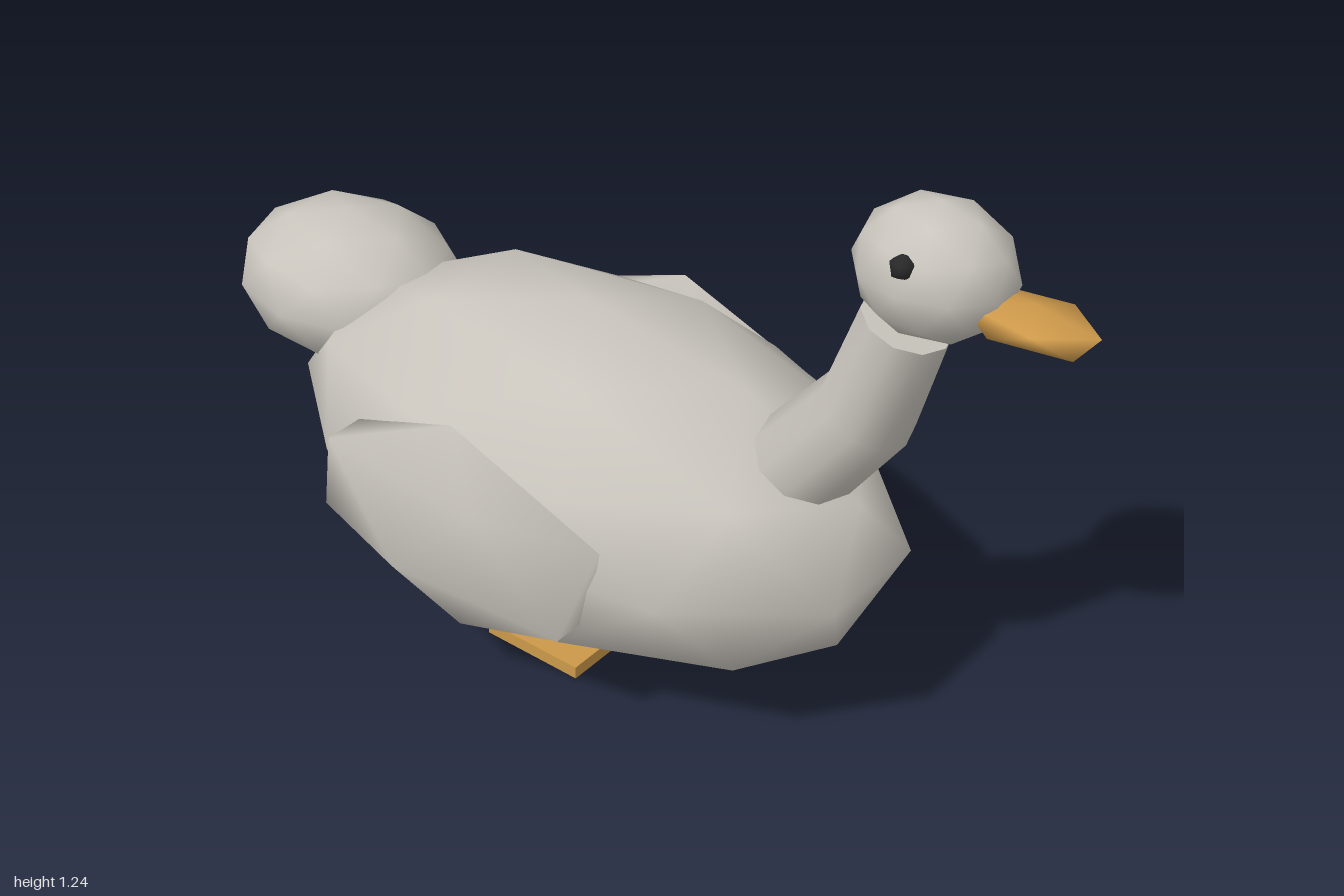
import * as THREE from 'three';

const mat = (name, color) => new THREE.MeshStandardMaterial({ name, color });

// Icosphere standing on a vertex, smooth-shaded, stretched to the given radii
function blob(name, material, detail, center, radii) {
  const geo = new THREE.IcosahedronGeometry(1, detail);
  geo.rotateZ(-Math.atan2(2, 1 + Math.sqrt(5)));
  geo.setAttribute('normal', geo.attributes.position.clone());
  geo.scale(...radii);
  const mesh = new THREE.Mesh(geo, material);
  mesh.name = name;
  mesh.position.set(...center);
  return mesh;
}

// Bent, tapering neck: each cylinder ring is moved to its own centre, radius and tilt
function neckGeometry() {
  const rings = [
    { x: 0.375, y: 0.54, r: 0.108, tilt: -0.62 },
    { x: 0.5625, y: 0.78, r: 0.096, tilt: -0.5 },
    { x: 0.63, y: 0.992, r: 0.086, tilt: -0.33 },
  ];
  const geo = new THREE.CylinderGeometry(1, 1, 2, 10, 2);
  geo.rotateY(-Math.PI / 2);
  const p = geo.attributes.position, n = geo.attributes.normal;
  const v = new THREE.Vector3(), axis = new THREE.Vector3(0, 0, 1);
  for (let i = 0; i < p.count; i++) {
    const ring = rings[Math.round(p.getY(i)) + 1];
    v.set(p.getX(i) * ring.r, 0, p.getZ(i) * ring.r).applyAxisAngle(axis, ring.tilt);
    p.setXYZ(i, ring.x + v.x, ring.y + v.y, v.z);
    v.fromBufferAttribute(n, i).applyAxisAngle(axis, ring.tilt);
    n.setXYZ(i, v.x, v.y, v.z);
  }
  return geo;
}

export function createModel() {
  const feathers = mat('feather grey', 0xc9c5bd);
  const orange = mat('beak orange', 0xcc984a);
  const black = mat('eye black', 0x2a2a2a);
  const bird = new THREE.Group();
  bird.name = 'bird';

  // Body, tail and head
  bird.add(
    blob('body', feathers, 1, [-0.085, 0.4025, 0], [0.72, 0.3575, 0.41]),
    blob('tail', feathers, 1, [-0.747, 0.57, 0], [0.265, 0.165, 0.215]),
    blob('head', feathers, 1, [0.678, 1.114, 0], [0.153, 0.129, 0.13]),
    blob('beak', orange, 0, [0.868, 1.079, 0], [0.147, 0.035, 0.083]),
  );

  const neck = new THREE.Mesh(neckGeometry(), feathers);
  neck.name = 'neck';
  bird.add(neck);

  // Paired wings, eyes and feet
  for (const [side, s] of [['left', 1], ['right', -1]]) {
    bird.add(
      blob(side + 'Wing', feathers, 0, [-0.13, 0.398, s * 0.36], [0.405, 0.2375, 0.082]),
      blob(side + 'Eye', black, 0, [0.68, 1.165, s * 0.111], [0.025, 0.025, 0.025]),
    );
    const foot = new THREE.Mesh(new THREE.BoxGeometry(0.236, 0.028, 0.117), orange);
    foot.name = side + 'Foot';
    foot.position.set(-0.083, 0.016, s * 0.143);
    bird.add(foot);
  }
  return bird;
}
